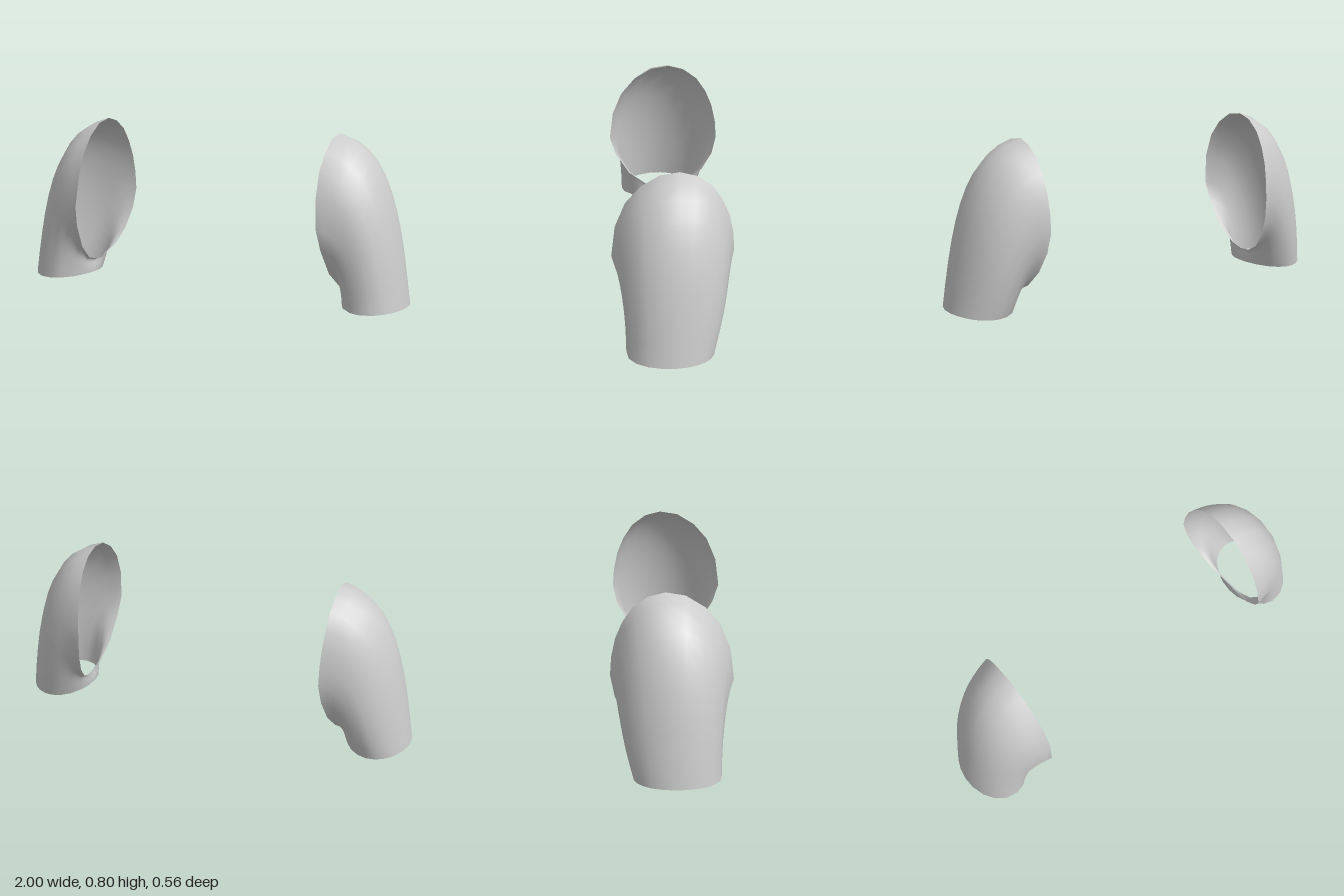
import * as THREE from 'three';

// Armhole rim as [x, y, z]: crown, down the front, underarm, up the back
const armhole = [
  [0.63, 0.8, -0.03], [0.63, 0.785, 0.06], [0.63, 0.73, 0.147], [0.63, 0.65, 0.215],
  [0.633, 0.535, 0.262], [0.643, 0.39, 0.28], [0.655, 0.29, 0.25], [0.67, 0.17, 0.18],
  [0.685, 0.095, 0.09], [0.69, 0.075, 0.02], [0.68, 0.085, -0.06], [0.665, 0.125, -0.14],
  [0.645, 0.2, -0.21], [0.627, 0.3, -0.26], [0.616, 0.4, -0.28], [0.617, 0.49, -0.274],
  [0.62, 0.58, -0.255], [0.624, 0.66, -0.222], [0.627, 0.73, -0.175], [0.63, 0.78, -0.107],
];
const STEPS = 10;

// One sleeve column: a curve from the cuff up and over to the armhole
function column([ax, ay, az]) {
  const angle = Math.atan2(az / 0.28, (ay - 0.42) / 0.36);
  const c = Math.cos(angle), s = Math.sin(angle);
  const arm = new THREE.Vector3(ax, ay, az);
  const cuff = new THREE.Vector3(0.845 + 0.155 * c, 0.01 * c * c, 0.02 + 0.2 * s);
  const k = (ay - cuff.y) / 0.79;
  const back = cuff.z < 0;
  const rise = new THREE.Vector3(cuff.x - 0.06 * k, cuff.y + 0.41 * k, cuff.z * (back ? 1.35 : 1));
  const shoulder = new THREE.Vector3(
    ax + 0.25 * k, ay - 0.05 * k, THREE.MathUtils.lerp(az, cuff.z, back ? 0.35 : 0.6));
  return new THREE.CubicBezierCurve3(cuff, rise, shoulder, arm);
}

// Loft the columns into an open shell; side is +1 (left) or -1 (right)
function sleeveGeometry(side) {
  const n = armhole.length, positions = [], index = [];
  const columns = armhole.map(column);
  for (let j = 0; j <= STEPS; j++) {
    for (const curve of columns) {
      const p = curve.getPoint(j / STEPS);
      positions.push(side * p.x, p.y, p.z);
    }
  }
  for (let j = 0; j < STEPS; j++) {
    for (let i = 0; i < n; i++) {
      const a = j * n + i, b = j * n + (i + 1) % n, c = a + n, d = b + n;
      if (side > 0) index.push(a, c, b, b, c, d);
      else index.push(a, b, c, b, d, c);
    }
  }
  const geometry = new THREE.BufferGeometry();
  geometry.setAttribute('position', new THREE.Float32BufferAttribute(positions, 3));
  geometry.setIndex(index);
  geometry.computeVertexNormals();
  return geometry;
}

export function createModel() {
  const group = new THREE.Group();
  group.name = 'sleeves';
  const cloth = new THREE.MeshStandardMaterial({ color: 0xcccccc, side: THREE.DoubleSide });
  for (const [name, side] of [['leftSleeve', 1], ['rightSleeve', -1]]) {
    const sleeve = new THREE.Mesh(sleeveGeometry(side), cloth);
    sleeve.name = name;
    group.add(sleeve);
  }
  return group;
}
